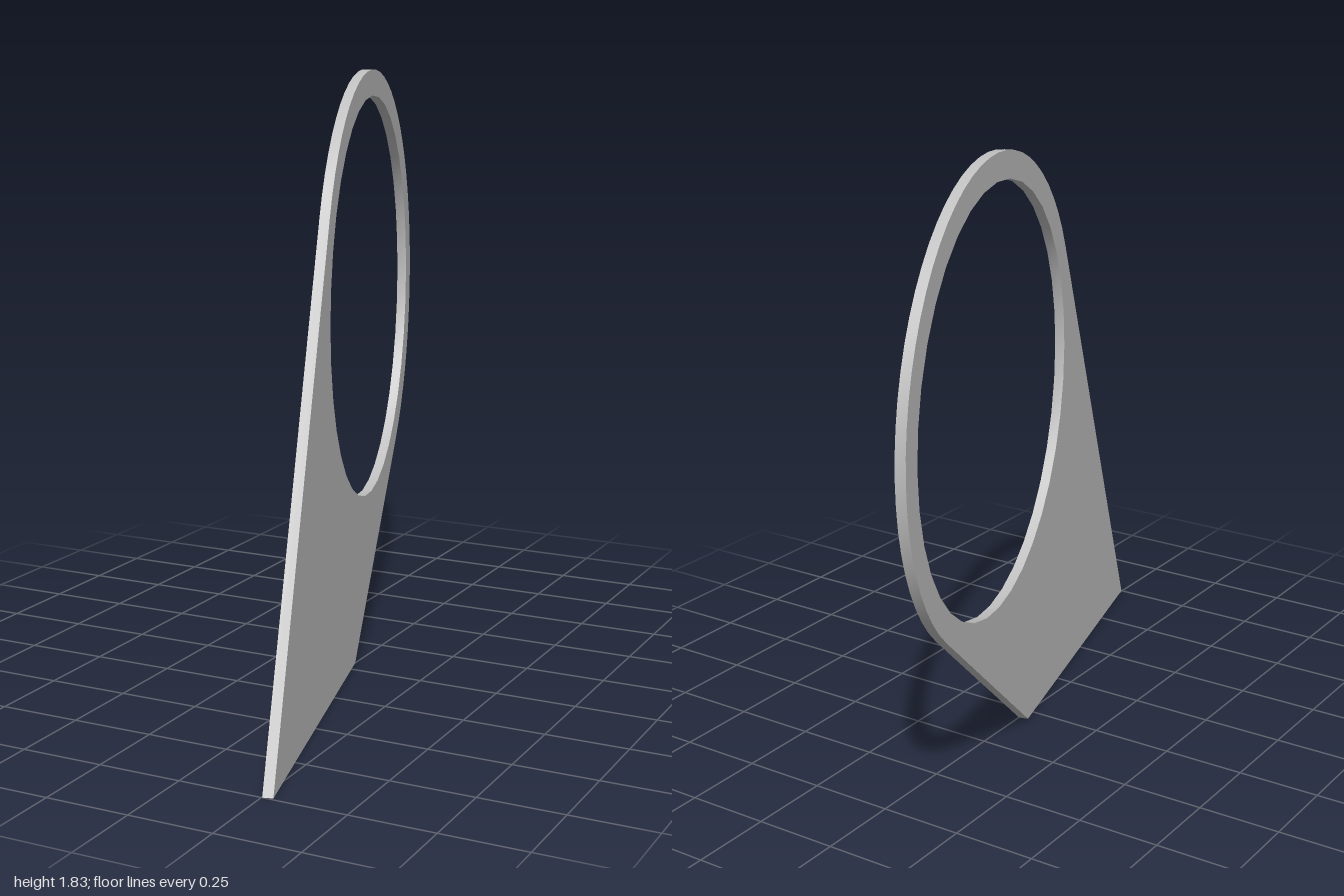
import * as THREE from 'three';
import { toCreasedNormals } from 'three/addons/utils/BufferGeometryUtils.js';

export function createModel() {
  const group = new THREE.Group();
  group.name = 'ringBracket';
  const grey = new THREE.MeshStandardMaterial({ color: 0xc0c0c0 });
  grey.name = 'plainGrey';

  const centre = new THREE.Vector2(-0.321, 1.12);
  const outerRadius = 0.71, holeRadius = 0.63, thickness = 0.03;
  const footFront = new THREE.Vector2(1.031, 0);
  const footBack = new THREE.Vector2(-0.055, 0);

  // Angle on the ring where a straight edge from a foot corner touches it
  const tangentAngle = (p, side) => {
    const d = p.clone().sub(centre);
    return Math.atan2(d.y, d.x) + side * Math.acos(outerRadius / d.length());
  };

  // Outline: flat foot, two tangent edges and the ring's outer arc
  const outline = new THREE.Shape();
  outline.moveTo(footBack.x, footBack.y);
  outline.lineTo(footFront.x, footFront.y);
  outline.absarc(centre.x, centre.y, outerRadius,
    tangentAngle(footFront, 1), tangentAngle(footBack, -1) + Math.PI * 2, false);
  outline.closePath();

  // Round opening
  const hole = new THREE.Path();
  hole.absarc(centre.x, centre.y, holeRadius, 0, Math.PI * 2, true);
  outline.holes.push(hole);

  // Thin plate turned 15 degrees from the z axis
  const geometry = new THREE.ExtrudeGeometry(outline, {
    depth: thickness, bevelEnabled: false, curveSegments: 18,
  });
  geometry.translate(0, 0, -thickness / 2);
  geometry.rotateY(THREE.MathUtils.degToRad(-75));

  const plate = new THREE.Mesh(toCreasedNormals(geometry, 0.5), grey);
  plate.name = 'ringPlate';
  group.add(plate);
  return group;
}
